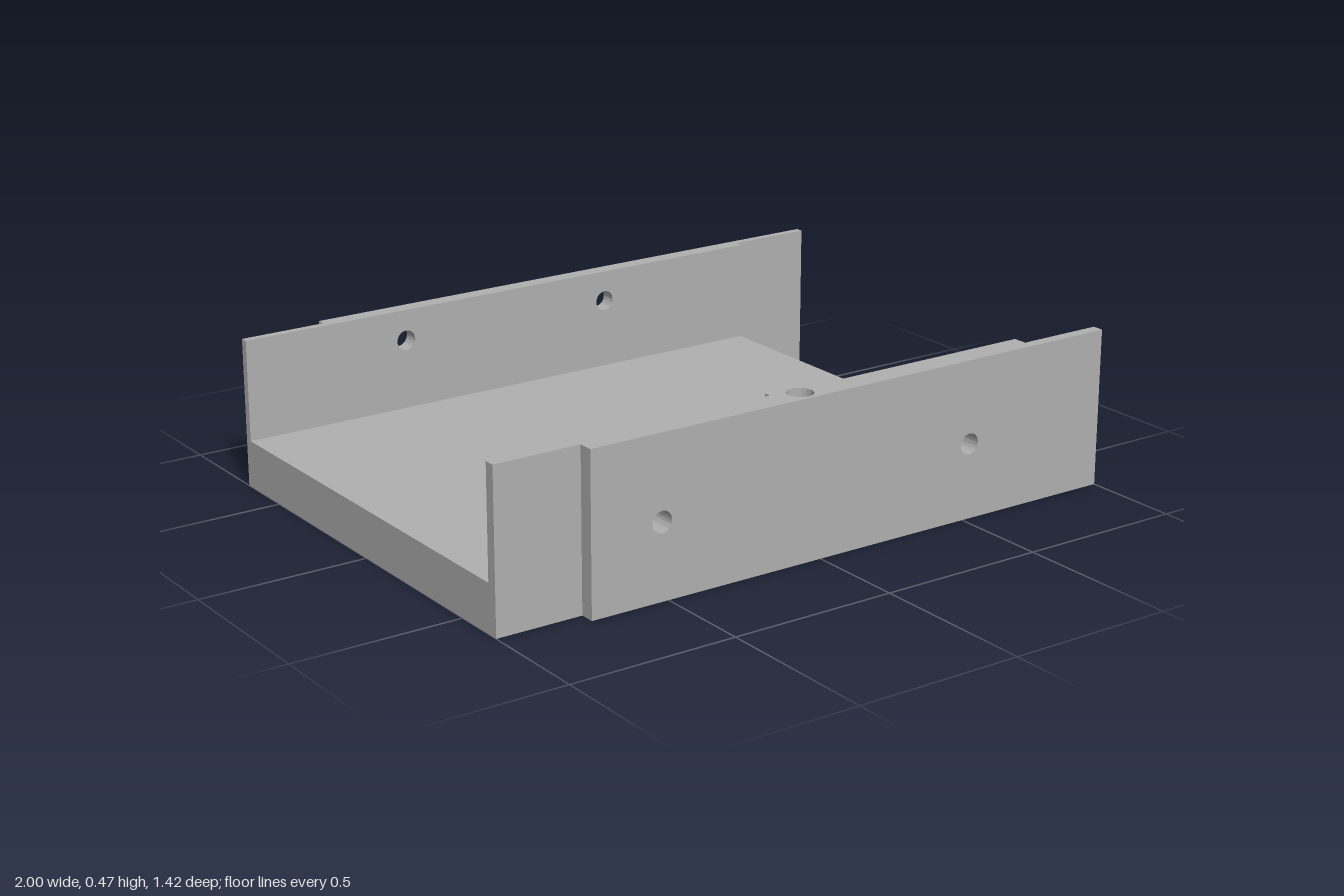
import * as THREE from 'three';
import { toCreasedNormals } from 'three/addons/utils/BufferGeometryUtils.js';

// Rectangle with round holes given as [x, y, radius]
function plateShape(x0, x1, y0, y1, holes = []) {
  const shape = new THREE.Shape();
  shape.moveTo(x0, y0).lineTo(x1, y0).lineTo(x1, y1).lineTo(x0, y1).closePath();
  for (const [x, y, r] of holes) {
    shape.holes.push(new THREE.Path().absarc(x, y, r, 0, Math.PI * 2, true));
  }
  return shape;
}

function extrude(shape, depth) {
  const geo = new THREE.ExtrudeGeometry(shape, { depth, bevelEnabled: false, curveSegments: 32 });
  return toCreasedNormals(geo, 0.5);
}

export function createModel() {
  const group = new THREE.Group();
  const grey = new THREE.MeshStandardMaterial({ color: 0xb0b0b0 });
  grey.name = 'grey';

  function add(name, geo) {
    const mesh = new THREE.Mesh(geo, grey);
    mesh.name = name;
    group.add(mesh);
  }

  // Upright panel, holes bored along z
  function panel(name, x0, x1, height, z0, z1, holes) {
    add(name, extrude(plateShape(x0, x1, 0, height, holes), z1 - z0).translate(0, 0, z0));
  }

  // Horizontal block, holes bored along y
  function block(name, x0, x1, y0, y1, z0, z1, holes = []) {
    const flipped = holes.map(([x, z, r]) => [x, -z, r]);
    const geo = extrude(plateShape(x0, x1, -z1, -z0, flipped), y1 - y0);
    add(name, geo.rotateX(-Math.PI / 2).translate(0, y0, 0));
  }

  const left = -1, step = 0.74, right = 1;
  const floorTop = 0.142, frontTop = 0.467, backTop = 0.443;
  const frontIn = 0.631, frontOut = 0.707, backIn = -0.661, backOut = -0.71;

  // Floor with two slightly tapered blind holes
  const pocketY = 0.04, pocketR = 0.055;
  const pockets = [[-0.765, 0.41, pocketR], [0.542, 0.41, pocketR]];
  block('floorUnderside', left, step, 0, pocketY, backIn, frontIn);
  block('floor', left, step, pocketY, floorTop, backIn, frontIn, pockets);
  for (const [x, z] of pockets) {
    const profile = [new THREE.Vector2(pocketR, floorTop), new THREE.Vector2(0.051, pocketY)];
    add('floorPocket', new THREE.LatheGeometry(profile, 48).translate(x, 0, z));
  }

  // Front wall: offset end tabs, drilled panels and a boss between them
  const boss0 = -0.12, boss1 = 0.042;
  panel('frontLeftTab', left, -step, frontTop, frontIn, 0.663);
  panel('frontPanelA', -step, boss0, frontTop, frontIn, frontOut, [[-0.52, 0.222, 0.031]]);
  panel('frontPanelB', boss1, step, frontTop, frontIn, frontOut, [[0.517, 0.222, 0.031]]);
  panel('frontRightTab', step, right, frontTop, 0.673, frontOut);

  // Boss with a blind hole from the top
  block('bossLower', boss0, boss1, 0, 0.16, frontIn - 0.021, frontOut);
  block('boss', boss0, boss1, 0.16, frontTop, frontIn - 0.021, frontOut, [[-0.04, 0.657, 0.038]]);

  // Back wall: offset end tabs and one drilled panel
  const backHoles = [[-0.48, 0.35, 0.03], [0.22, 0.35, 0.03]];
  panel('backLeftTab', left, -step, backTop, -0.684, backIn);
  panel('backPanel', -step, step, backTop, backOut, backIn, backHoles);
  panel('backRightTab', step, right, backTop, backOut, -0.687);

  return group;
}
